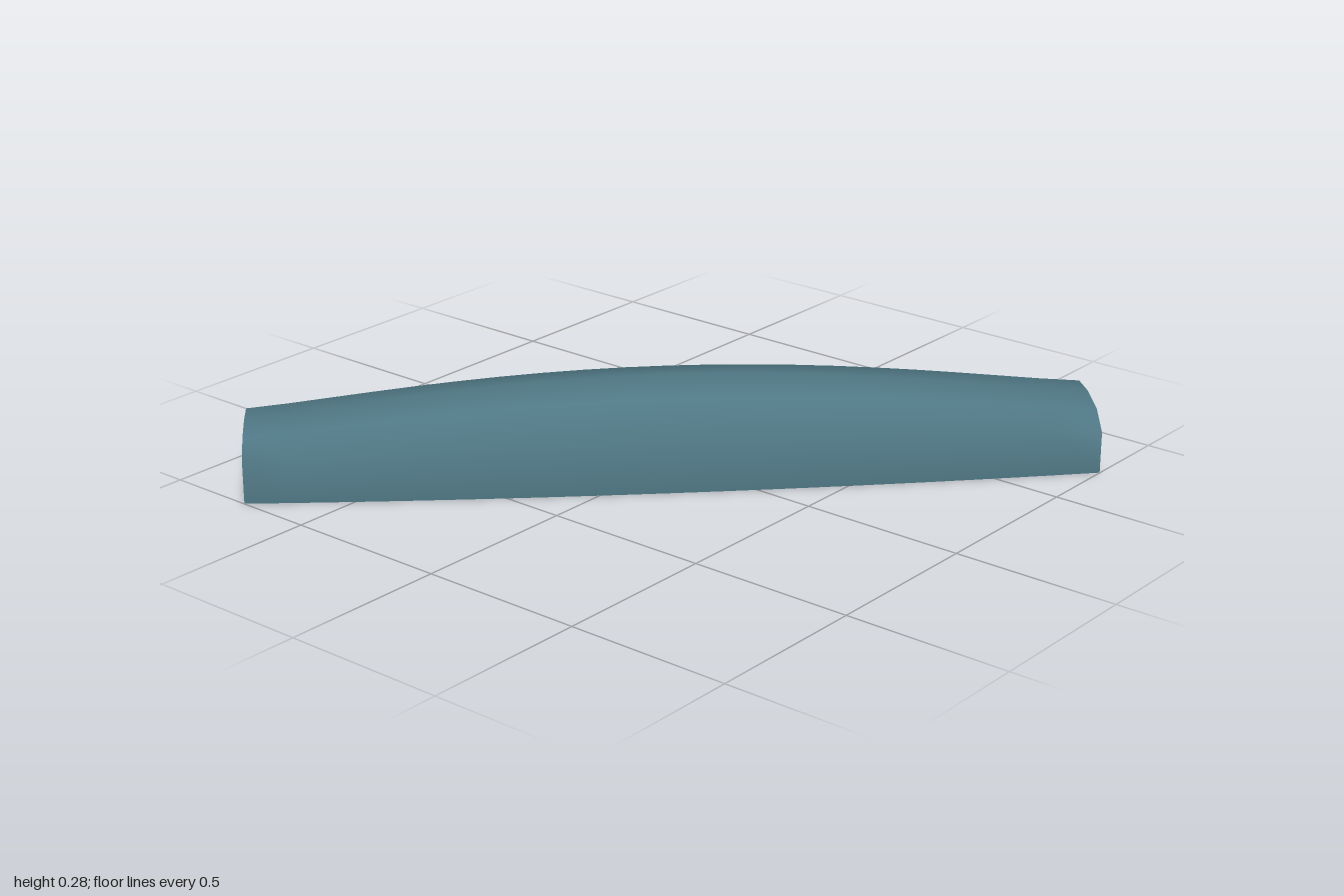
import * as THREE from 'three';

const HALF_LENGTH = 1.223, SEGMENTS = 20, THICKNESS = 0.02;

// Arched channel section at t (-1..1 along the length), from the +x foot over the top to the -x foot
function section(t, inset) {
  const bow = 1 - t * t;
  const halfWidth = 0.19 + 0.036 * bow - inset;
  const wall = 0.125 + 0.025 * bow - inset * 0.3;
  const top = 0.18 + 0.095 * Math.pow(bow, 1.3) - inset * 0.8;
  const shoulder = wall + (top - wall) * 0.81;
  const half = [[halfWidth, 0], [halfWidth, wall], [halfWidth * 0.59, shoulder]];
  const mirrored = half.map(([x, y]) => [-x, y]).reverse();
  return [...half, [0, top], ...mirrored].map(([x, y]) => new THREE.Vector3(x, y, t * HALF_LENGTH));
}

// Smooth surface through rows of points
function skin(rows) {
  const n = rows[0].length, index = [];
  for (let i = 0; i < rows.length - 1; i++) {
    for (let j = 0; j < n - 1; j++) {
      const a = i * n + j, b = a + 1, c = b + n, d = a + n;
      index.push(a, b, c, a, c, d);
    }
  }
  const geometry = new THREE.BufferGeometry().setFromPoints(rows.flat());
  geometry.setIndex(index);
  geometry.computeVertexNormals();
  return geometry;
}

export function createModel() {
  const group = new THREE.Group();
  group.name = 'archedCover';
  const slateBlue = new THREE.MeshStandardMaterial({ color: 0x4f7784 });
  slateBlue.name = 'slateBlue';

  const outer = [], inner = [];
  for (let i = 0; i <= SEGMENTS; i++) {
    const t = (i / SEGMENTS) * 2 - 1;
    outer.push(section(t, 0));
    inner.push(section(t, THICKNESS));
  }
  const last = outer[0].length - 1;

  const parts = {
    outerShell: outer,
    innerShell: inner.map((row) => [...row].reverse()),
    // Feet of the two side walls
    leftFoot: outer.map((row, i) => [inner[i][0], row[0]]),
    rightFoot: outer.map((row, i) => [row[last], inner[i][last]]),
    // Thickness of the shell at the two open ends
    frontRim: [outer[SEGMENTS], inner[SEGMENTS]],
    backRim: [inner[0], outer[0]],
  };
  for (const [name, rows] of Object.entries(parts)) {
    const mesh = new THREE.Mesh(skin(rows), slateBlue);
    mesh.name = name;
    group.add(mesh);
  }

  // The cover lies along the diagonal
  group.rotation.y = Math.PI / 4;
  return group;
}
